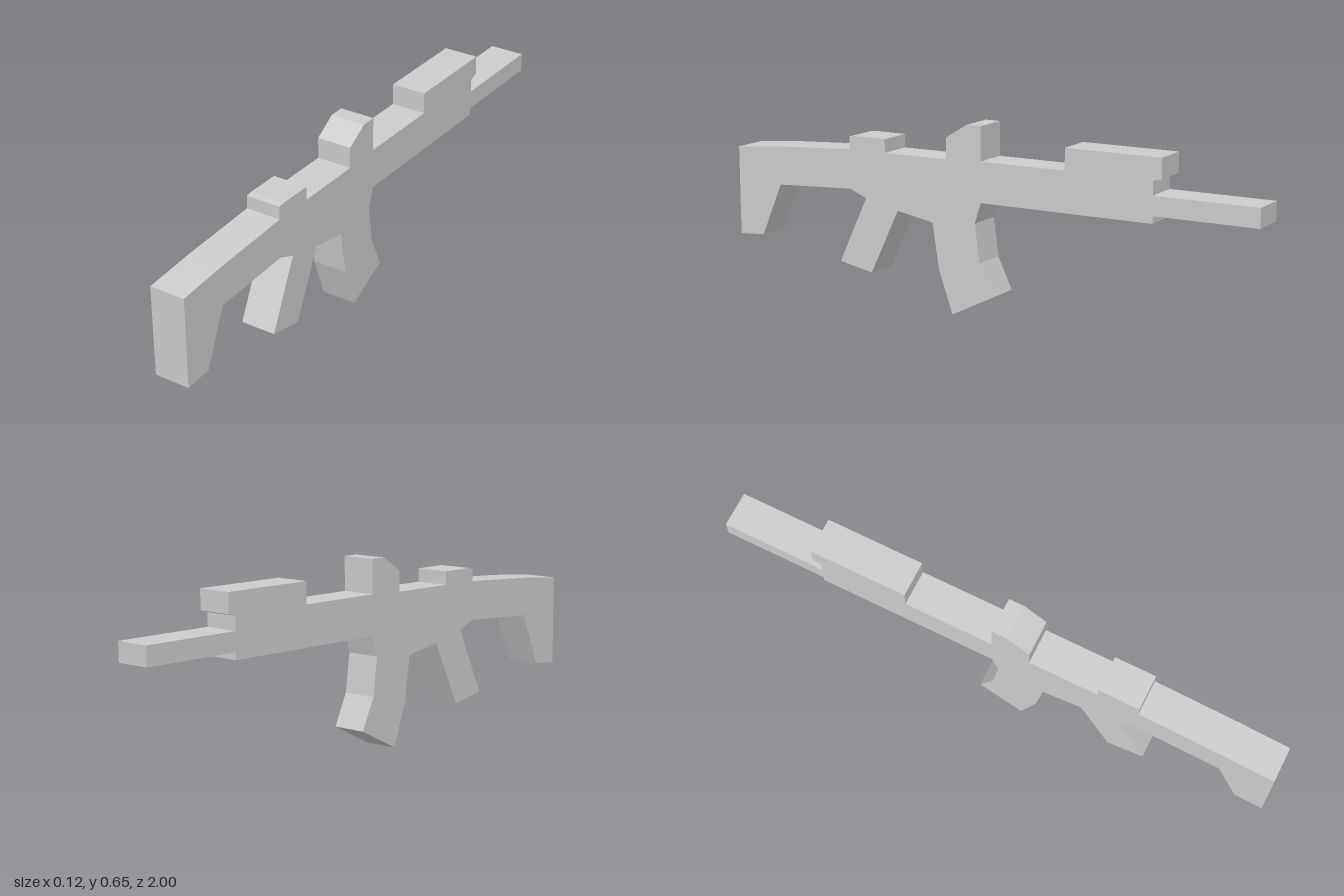
import * as THREE from 'three';

const WIDTH = 0.125;

// Side profiles as [z, y] corners; neighbouring parts share their edges
const PROFILES = {
  stock: [[1, 0.497], [0.82, 0.513], [0.52, 0.53], [0.52, 0.392], [0.82, 0.376], [0.9, 0.187], [1, 0.18]],
  receiver: [[0.52, 0.53], [0.13, 0.532], [-0.005, 0.537], [-0.005, 0.397], [0.018, 0.325],
    [0.185, 0.31], [0.325, 0.335], [0.455, 0.365], [0.52, 0.392]],
  rearSight: [[0.52, 0.53], [0.52, 0.575], [0.5, 0.578], [0.375, 0.578], [0.375, 0.531]],
  middleSight: [[0.13, 0.532], [0.13, 0.605], [0.05, 0.655], [-0.005, 0.655], [-0.005, 0.537]],
  handguard: [[-0.005, 0.537], [-0.32, 0.537], [-0.635, 0.535], [-0.635, 0.397], [-0.005, 0.397]],
  frontBlock: [[-0.32, 0.537], [-0.32, 0.612], [-0.665, 0.612], [-0.665, 0.543], [-0.635, 0.535]],
  barrel: [[-0.635, 0.488], [-1, 0.488], [-1, 0.422], [-0.635, 0.422]],
  grip: [[0.325, 0.335], [0.435, 0.105], [0.565, 0.13], [0.455, 0.365]],
  magazine: [[0.018, 0.325], [0, 0.19], [-0.052, 0.08], [0.107, 0], [0.16, 0.15], [0.185, 0.31]],
};

// Extrude a side profile across the full width, centred on x = 0
function slab(points) {
  const shape = new THREE.Shape(points.map(([z, y]) => new THREE.Vector2(z, y)));
  const geometry = new THREE.ExtrudeGeometry(shape, { depth: WIDTH, bevelEnabled: false });
  geometry.translate(0, 0, -WIDTH / 2);
  geometry.rotateY(-Math.PI / 2);
  return geometry;
}

export function createModel() {
  const model = new THREE.Group();
  model.name = 'blockyRifle';
  const grey = new THREE.MeshStandardMaterial({ color: 0xcccccc });
  grey.name = 'lightGrey';
  for (const [name, points] of Object.entries(PROFILES)) {
    const mesh = new THREE.Mesh(slab(points), grey);
    mesh.name = name;
    model.add(mesh);
  }
  return model;
}
